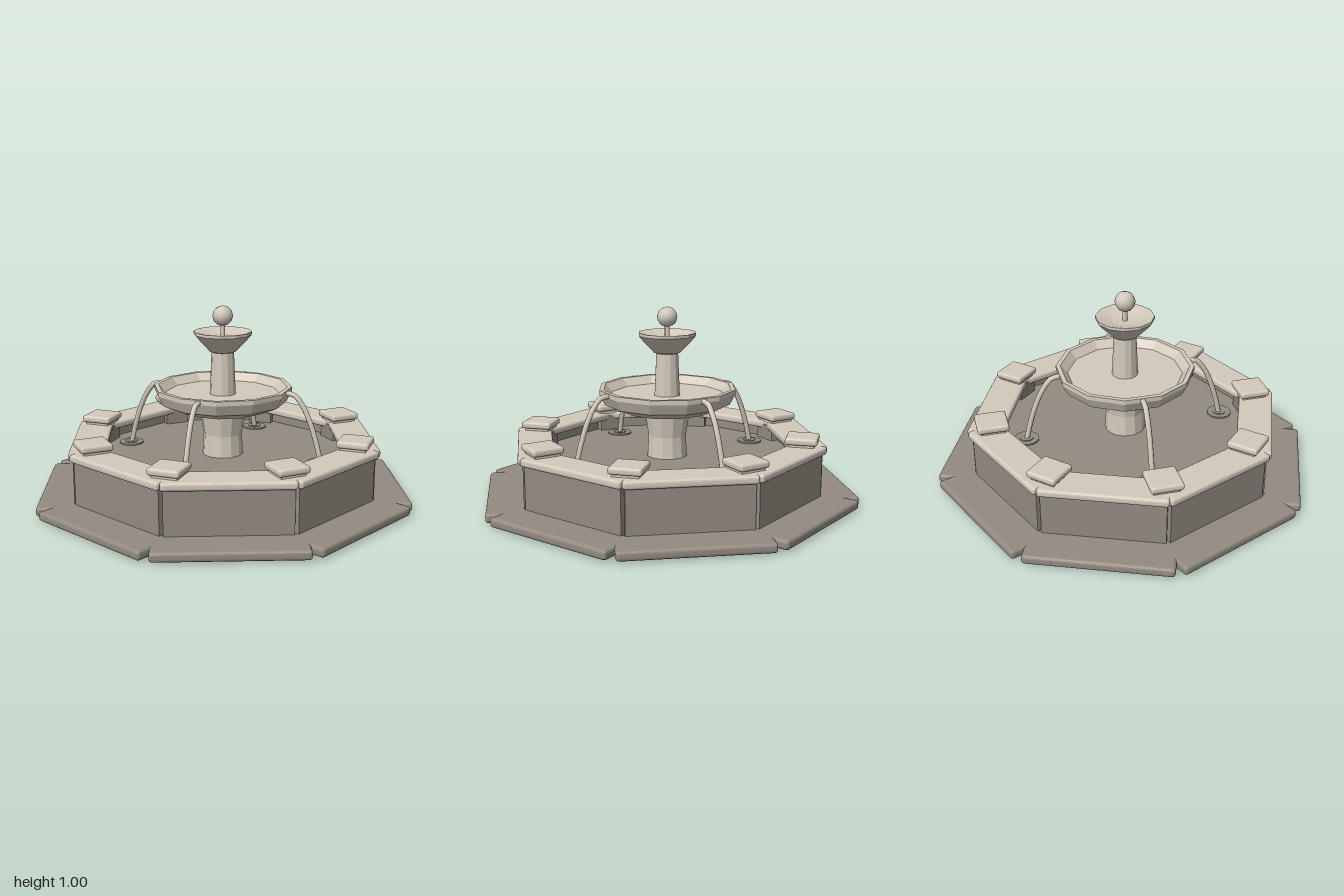
import * as THREE from 'three';
import { RoundedBoxGeometry } from 'three/addons/geometries/RoundedBoxGeometry.js';

const paleStone = new THREE.MeshStandardMaterial({ color: 0xd3cabc, side: THREE.DoubleSide });
paleStone.name = 'paleStone';
const greyStone = new THREE.MeshStandardMaterial({ color: 0x938b82 });
greyStone.name = 'greyStone';
const darkBase = new THREE.MeshStandardMaterial({ color: 0x3d3934 });
darkBase.name = 'darkBase';

// Grey box whose underside is dark (order: +x, -x, +y, -y, +z, -z)
const greyOnDark = [greyStone, greyStone, greyStone, darkBase, greyStone, greyStone];

function add(parent, name, geometry, material, x = 0, y = 0, z = 0) {
  const mesh = new THREE.Mesh(geometry, material);
  mesh.name = name;
  mesh.position.set(x, y, z);
  parent.add(mesh);
  return mesh;
}

// Slab between two heights and two distances from the axis, with faceted rounded edges
function slab(parent, name, material, length, y0, y1, near, far, radius) {
  const h = y1 - y0, d = far - near;
  const geometry = radius
    ? new RoundedBoxGeometry(length, h, d, 2, radius)
    : new THREE.BoxGeometry(length, h, d);
  if (radius) geometry.computeVertexNormals();
  return add(parent, name, geometry, material, 0, (y0 + y1) / 2, (near + far) / 2);
}

// Faceted turned part from [radius, height] pairs
function turned(parent, name, profile, sides = 12) {
  const points = profile.map(([r, y]) => new THREE.Vector2(r, y));
  const geometry = new THREE.LatheGeometry(points, sides).toNonIndexed();
  geometry.computeVertexNormals();
  return add(parent, name, geometry, paleStone);
}

export function createModel() {
  const fountain = new THREE.Group();
  fountain.name = 'fountain';

  for (let i = 0; i < 8; i++) {
    // Octagon side: step, wall and coping
    const side = new THREE.Group();
    side.name = 'basinSide';
    side.rotation.y = (i + 0.5) * Math.PI / 4;
    slab(side, 'baseStep', greyOnDark, 0.72, 0.008, 0.056, 0.72, 0.935, 0.016);
    slab(side, 'wallPanel', greyOnDark, 0.6, 0, 0.285, 0.65, 0.75);
    slab(side, 'coping', paleStone, 0.624, 0.277, 0.318, 0.594, 0.773, 0.014);
    fountain.add(side);

    // Octagon corner: post and cap
    const corner = new THREE.Group();
    corner.name = 'basinCorner';
    corner.rotation.y = i * Math.PI / 4;
    slab(corner, 'cornerPost', greyOnDark, 0.13, 0.004, 0.3, 0.635, 0.77);
    slab(corner, 'capNeck', paleStone, 0.13, 0.3, 0.336, 0.64, 0.77);
    slab(corner, 'postCap', paleStone, 0.162, 0.33, 0.366, 0.624, 0.786, 0.013);
    fountain.add(corner);
  }

  // Solid pool floor inside the wall
  add(fountain, 'poolFloor', new THREE.CylinderGeometry(0.71, 0.71, 0.18, 8), greyStone, 0, 0.13, 0);

  // Open foot ring under the floor, and the pedestal above it
  turned(fountain, 'footRing', [[0.167, 0.002], [0.167, 0.06]], 16);
  turned(fountain, 'pedestal', [[0.107, 0.21], [0.1, 0.33], [0.117, 0.44]]);

  // Large bowl
  turned(fountain, 'lowerBowl', [
    [0.117, 0.44], [0.24, 0.465], [0.33, 0.505], [0.358, 0.56], [0.358, 0.583],
    [0.335, 0.583], [0.298, 0.542], [0, 0.54],
  ]);

  // Column and small bowl
  turned(fountain, 'column', [[0.068, 0.535], [0.064, 0.62], [0.058, 0.76], [0.068, 0.77]]);
  turned(fountain, 'upperBowl', [
    [0, 0.764], [0.07, 0.764], [0.128, 0.826], [0.15, 0.852], [0.15, 0.867],
    [0.142, 0.867], [0.07, 0.847], [0, 0.842],
  ]);

  // Finial
  add(fountain, 'finialStem', new THREE.CylinderGeometry(0.013, 0.013, 0.07, 8), paleStone, 0, 0.872, 0);
  add(fountain, 'finialBall', new THREE.IcosahedronGeometry(0.053, 1), paleStone, 0, 0.946, 0);

  // Four arched spouts falling to flat discs on the pool floor
  const arc = new THREE.CatmullRomCurve3(
    [[0.34, 0.568], [0.385, 0.563], [0.43, 0.51], [0.467, 0.435], [0.505, 0.32], [0.53, 0.215]]
      .map(([r, y]) => new THREE.Vector3(0, y, r)));
  for (let i = 0; i < 4; i++) {
    const jet = new THREE.Group();
    jet.name = 'spout';
    jet.rotation.y = (i + 0.5) * Math.PI / 2;
    add(jet, 'arch', new THREE.TubeGeometry(arc, 16, 0.014, 8), paleStone);
    add(jet, 'outerDisc', new THREE.CylinderGeometry(0.065, 0.065, 0.012, 16), greyStone, 0, 0.222, 0.53);
    add(jet, 'innerDisc', new THREE.CylinderGeometry(0.035, 0.035, 0.012, 16), greyStone, 0, 0.226, 0.53);
    fountain.add(jet);
  }

  return fountain;
}
